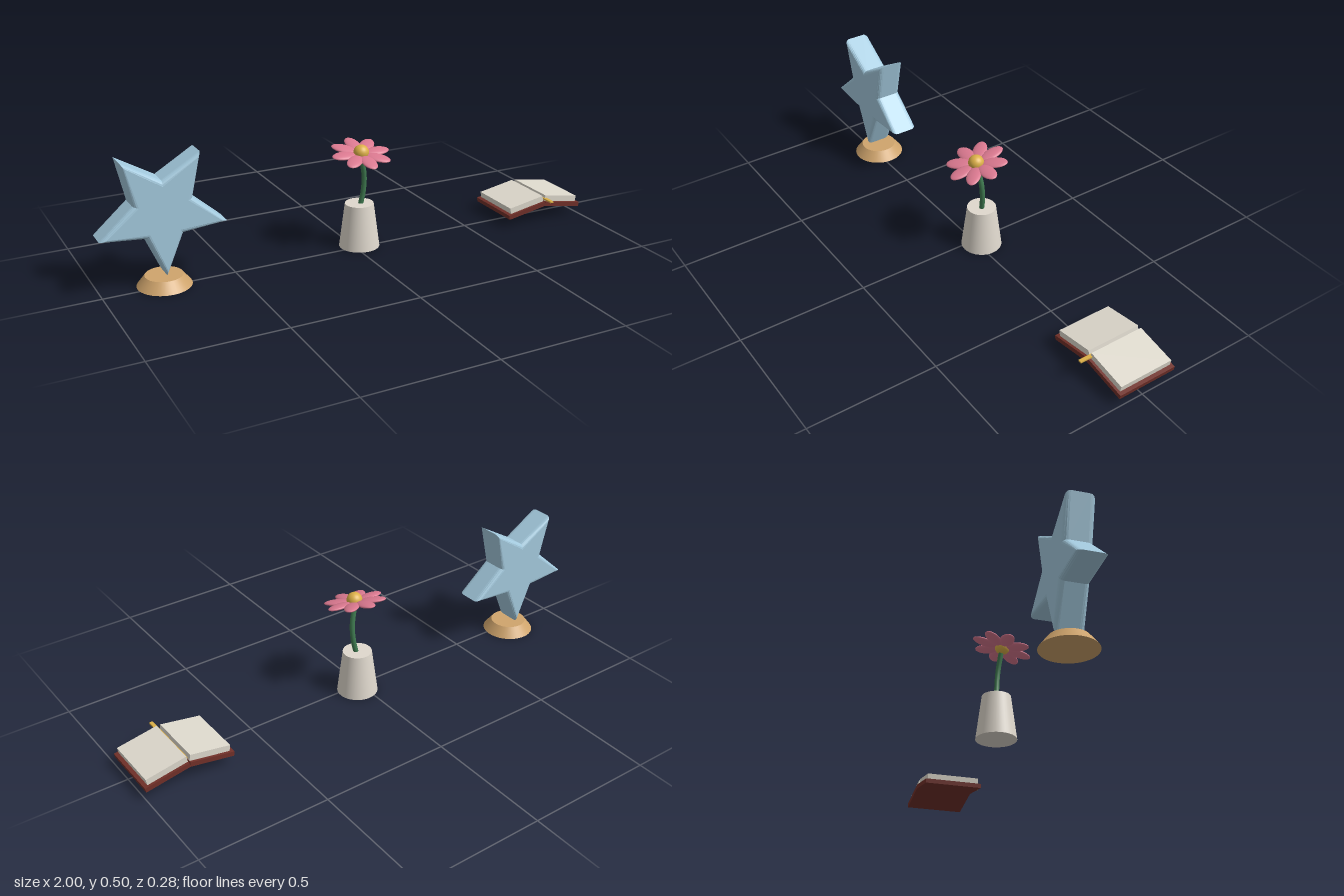
import * as THREE from 'three';

const mat = (name, color) => {
  const m = new THREE.MeshStandardMaterial({ color });
  m.name = name;
  return m;
};

export function createModel() {
  const blue = mat('pale blue', 0xa4cade);
  const wood = mat('light wood', 0xcfa46c);
  const clay = mat('pale stone', 0xdfd8cd);
  const green = mat('stem green', 0x3f7a50);
  const pink = mat('petal pink', 0xdb7990);
  const yellow = mat('gold', 0xdcb048);
  const paper = mat('paper', 0xded9cd);
  const leather = mat('dark red leather', 0x713029);

  const root = new THREE.Group();
  const group = (name, x, y, z) => {
    const g = new THREE.Group();
    g.name = name;
    g.position.set(x, y, z);
    root.add(g);
    return g;
  };
  const add = (parent, name, geometry, material, x = 0, y = 0, z = 0) => {
    const m = new THREE.Mesh(geometry, material);
    m.name = name;
    m.position.set(x, y, z);
    parent.add(m);
    return m;
  };

  // Star standing on one point, on a round wooden foot
  const star = group('starOrnament', -0.766, 0, -0.02);
  const points = [];
  for (let i = 0; i < 10; i++) {
    const a = -Math.PI / 2 + (i * Math.PI) / 5;
    const r = i % 2 ? 0.094 : 0.222;
    points.push(new THREE.Vector2(Math.cos(a) * r, Math.sin(a) * r));
  }
  const bevel = 0.018, depth = 0.105;
  const starGeometry = new THREE.ExtrudeGeometry(new THREE.Shape(points), {
    depth: depth - 2 * bevel, bevelThickness: bevel, bevelSize: 0.017, bevelSegments: 4,
  });
  starGeometry.translate(0, 0, -(depth - 2 * bevel) / 2);
  add(star, 'star', starGeometry, blue, 0, 0.297, 0);
  add(star, 'starFoot', new THREE.CylinderGeometry(0.07, 0.101, 0.04, 40), wood, 0, 0.02, 0);

  // Tapered pot with a bent stem
  const plant = group('pottedFlower', 0.026, 0, -0.02);
  add(plant, 'pot', new THREE.CylinderGeometry(0.056, 0.079, 0.176, 40), clay, 0, 0.088, 0);
  const stemPath = new THREE.CatmullRomCurve3([
    new THREE.Vector3(0.002, 0.16, 0.002),
    new THREE.Vector3(0.014, 0.225, 0.006),
    new THREE.Vector3(0.015, 0.29, 0.011),
    new THREE.Vector3(-0.005, 0.38, 0.02),
  ]);
  add(plant, 'stem', new THREE.TubeGeometry(stemPath, 24, 0.01, 12), green);

  // Blossom tipped toward the front
  const blossom = group('blossom', 0.022, 0.384, 0);
  blossom.rotation.x = 0.235;
  for (let i = 0; i < 8; i++) {
    const a = (i * Math.PI) / 4;
    const petal = add(blossom, 'petal', new THREE.SphereGeometry(1, 20, 14), pink,
      Math.cos(a) * 0.069, 0, Math.sin(a) * 0.069);
    petal.scale.set(0.05, 0.009, 0.028);
    petal.rotation.y = -a;
  }
  add(blossom, 'flowerCentre', new THREE.SphereGeometry(0.03, 24, 16), yellow, 0, 0.005, 0.002);

  // Open book, both halves sloping down from the spine
  const book = group('openBook', 0.825, 0, -0.02);
  const tilt = 0.175;
  for (const side of [-1, 1]) {
    const cover = add(book, 'cover', new THREE.BoxGeometry(0.176, 0.018, 0.24), leather,
      side * 0.087, 0.0562, 0);
    const pages = add(book, 'pages', new THREE.BoxGeometry(0.16, 0.0245, 0.22), paper,
      side * 0.084, 0.0782, 0);
    cover.rotation.z = pages.rotation.z = -side * tilt;
  }
  add(book, 'ribbonBookmark', new THREE.BoxGeometry(0.014, 0.006, 0.26), yellow, 0.006, 0.09, 0.028);

  return root;
}
